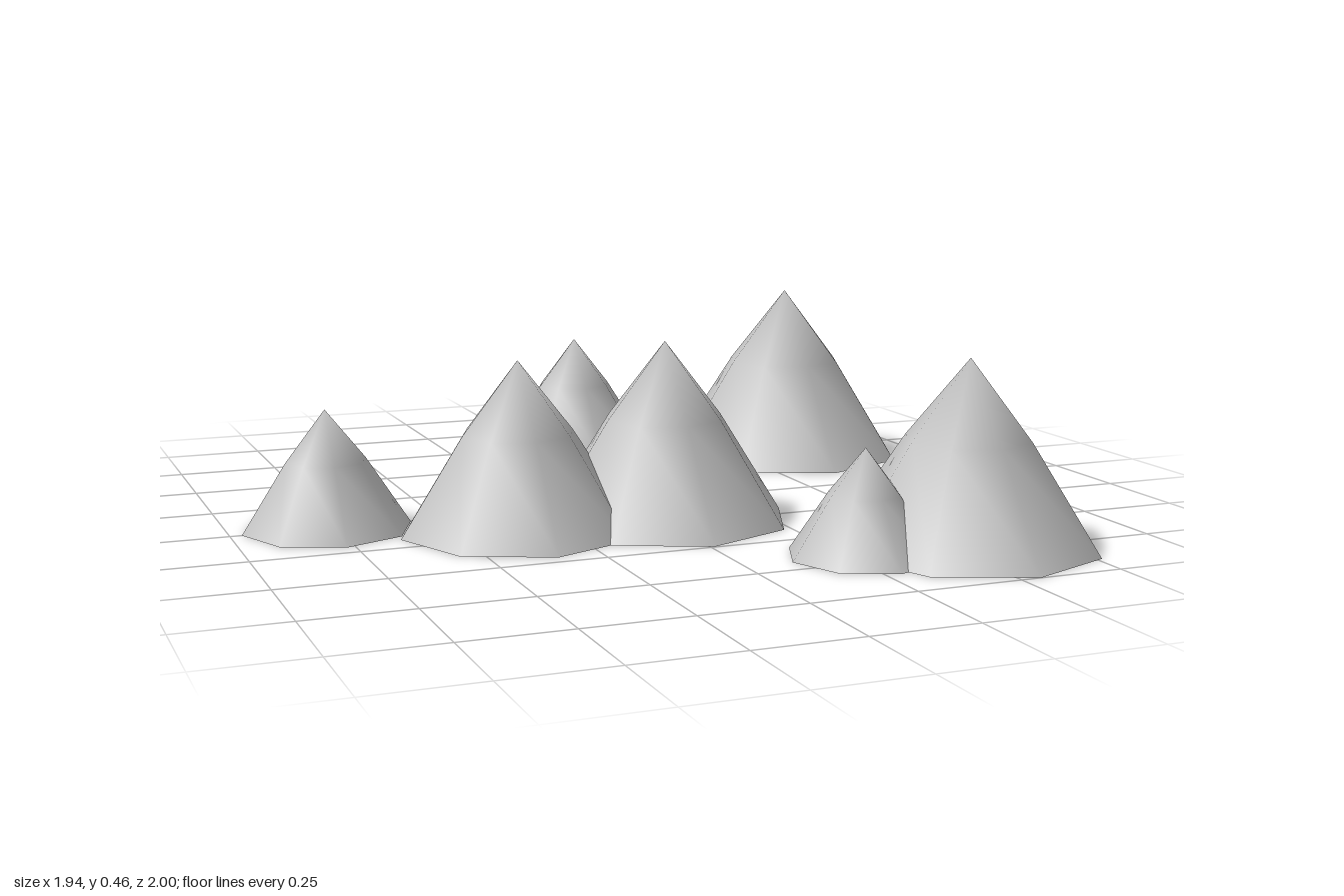
import * as THREE from 'three';
import { mergeVertices } from 'three/addons/utils/BufferGeometryUtils.js';

const SIDES = 8;

// Smooth eight-sided mound wall with a slightly bulging slope and a pointed top
function moundWall(r, h) {
  const profile = [[1, 0], [0.475, 0.575], [0, 1]].map(([x, y]) => new THREE.Vector2(x * r, y * h));
  const lathe = new THREE.LatheGeometry(profile, SIDES);
  lathe.deleteAttribute('uv');
  lathe.deleteAttribute('normal');
  const wall = mergeVertices(lathe, 1e-4);
  wall.computeVertexNormals();
  return wall;
}

export function createModel() {
  const model = new THREE.Group();
  model.name = 'moundCluster';

  const grey = new THREE.MeshStandardMaterial({ color: 0xc0c0c0 });
  grey.name = 'stone grey';

  // name, x, z, radius, height
  const mounds = [
    ['smallRightMound', -0.77, 0, 0.202, 0.285],
    ['rightMound', -0.352, 0.175, 0.286, 0.403],
    ['middleMound', 0.012, 0.19, 0.306, 0.432],
    ['smallBackMound', 0.13, -0.785, 0.215, 0.305],
    ['largeBackMound', 0.64, -0.457, 0.327, 0.46],
    ['frontMound', 0.547, 0.692, 0.308, 0.432],
    ['tinyFrontMound', 0.287, 0.69, 0.175, 0.245],
  ];

  for (const [name, x, z, r, h] of mounds) {
    const mound = new THREE.Group();
    mound.name = name;
    mound.position.set(x, 0, z);

    const wall = new THREE.Mesh(moundWall(r, h), grey);
    wall.name = 'wall';

    // Flat underside
    const base = new THREE.Mesh(new THREE.CircleGeometry(r, SIDES).rotateX(Math.PI / 2), grey);
    base.name = 'base';

    mound.add(wall, base);
    model.add(mound);
  }
  return model;
}
